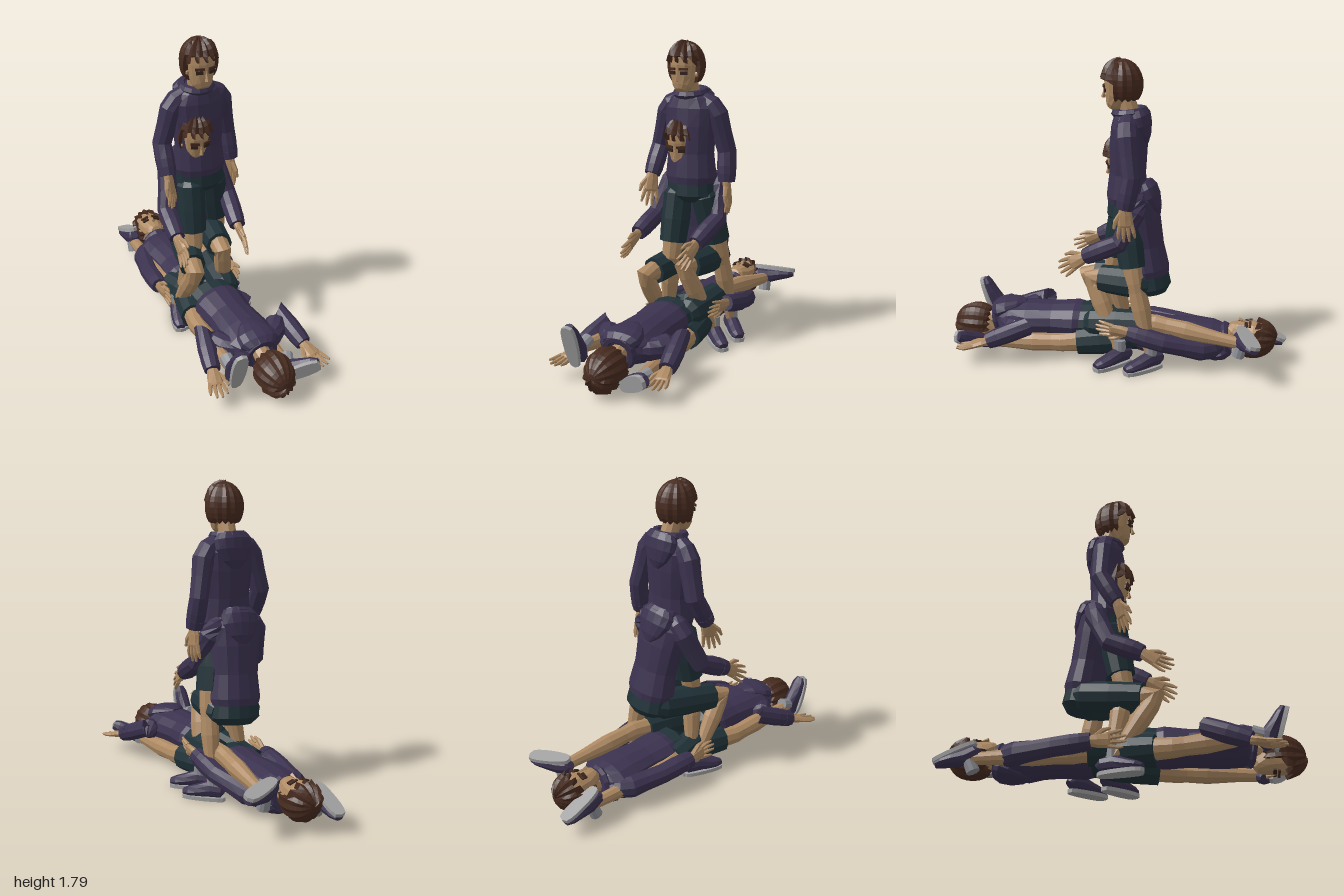
import * as THREE from 'three';

const V = (a) => new THREE.Vector3(...a);
const mat = (name, color) => Object.assign(new THREE.MeshStandardMaterial({ color }), { name });
const M = {
  hoodie: mat('hoodie', 0x3b324f), shorts: mat('shorts', 0x203238), skin: mat('skin', 0xad8962),
  hair: mat('hair', 0x472b1f), sole: mat('sole', 0xa0a0a0), sock: mat('sock', 0x8d8f96), eye: mat('eye', 0x33221b),
};

// Faceted copy of a geometry
function facet(g) {
  const f = g.index ? g.toNonIndexed() : g;
  f.computeVertexNormals();
  return f;
}

function add(parent, name, geo, material, pos) {
  const m = new THREE.Mesh(facet(geo), material);
  m.name = name;
  if (pos) m.position.set(...pos);
  parent.add(m);
  return m;
}

// Closed skin over elliptical rings [centre, radiusAlongSide, radiusAcross]
function loft(rings, side, n = 10) {
  const c = rings.map((r) => V(r[0])), pos = [], idx = [];
  const k = rings.length;
  rings.forEach((r, i) => {
    const t = c[Math.min(i + 1, k - 1)].clone().sub(c[Math.max(i - 1, 0)]).normalize();
    const s = V(side).addScaledVector(t, -V(side).dot(t)).normalize();
    const f = t.clone().cross(s);
    for (let j = 0; j < n; j++) {
      const a = (j / n) * Math.PI * 2;
      const p = c[i].clone().addScaledVector(s, Math.cos(a) * r[1]).addScaledVector(f, Math.sin(a) * r[2]);
      pos.push(p.x, p.y, p.z);
      if (i < k - 1) {
        const A = i * n + j, B = i * n + (j + 1) % n;
        idx.push(A, B, B + n, A, B + n, A + n);
      }
    }
  });
  for (let j = 1; j < n - 1; j++) {
    idx.push(0, j + 1, j);
    idx.push((k - 1) * n, (k - 1) * n + j, (k - 1) * n + j + 1);
  }
  const g = new THREE.BufferGeometry();
  g.setAttribute('position', new THREE.Float32BufferAttribute(pos, 3));
  g.setIndex(idx);
  return g;
}

// Group whose local y and z follow the given directions
function frame(parent, name, origin, up, fwd) {
  const g = new THREE.Group();
  g.name = name;
  const y = V(up).normalize(), z = V(fwd);
  z.addScaledVector(y, -z.dot(y)).normalize();
  g.quaternion.setFromRotationMatrix(new THREE.Matrix4().makeBasis(y.clone().cross(z), y, z));
  g.position.set(...origin);
  parent.add(g);
  return g;
}

const mix = (a, b, t) => a.map((v, i) => v + (b[i] - v) * t);
const sub = (a, b) => a.map((v, i) => v - b[i]);

function hairGeometry() {
  const g = new THREE.SphereGeometry(1, 28, 14), p = g.attributes.position;
  for (let i = 0; i < p.count; i++) {
    const odd = ((i % 29) % 28) % 2, pole = Math.abs(p.getY(i)) > 0.99;
    const front = p.getZ(i) > 0.1;
    const tuft = pole ? 1 : odd ? 1.04 : front ? 0.93 : 0.97;
    const x = p.getX(i) * 0.106 * tuft, z = p.getZ(i) * 0.122 * tuft;
    // jagged nape, and an opening for the face below the fringe
    const y = Math.max(p.getY(i) * 0.14 + (front && odd && p.getY(i) > 0.5 ? 0.01 : 0), -0.075 - odd * 0.018);
    const fringe = odd ? 0.005 : 0.035;
    p.setXYZ(i, x, y, y < fringe && z > 0.025 ? 0.025 : z);
  }
  return g;
}

function buildHead(parent, o, up, fwd) {
  const h = frame(parent, 'head', o, up, fwd), X = [1, 0, 0];
  add(h, 'face', loft([
    [[0, -0.138, 0.058], 0.036, 0.03], [[0, -0.118, 0.045], 0.056, 0.05], [[0, -0.07, 0.02], 0.074, 0.076],
    [[0, 0, 0.01], 0.082, 0.09], [[0, 0.06, 0.005], 0.082, 0.09], [[0, 0.1, 0], 0.06, 0.07]], X, 12), M.skin);
  add(h, 'hair', hairGeometry(), M.hair);
  const nose = add(h, 'nose', new THREE.ConeGeometry(0.013, 0.06, 4), M.skin, [0, -0.052, 0.1]);
  nose.rotation.x = -0.2;
  for (const s of [-1, 1]) {
    add(h, 'eyebrow', new THREE.BoxGeometry(0.052, 0.013, 0.009), M.hair, [s * 0.037, -0.012, 0.094]).rotation.y = s * 0.35;
    add(h, 'eye', new THREE.BoxGeometry(0.04, 0.02, 0.009), M.eye, [s * 0.037, -0.034, 0.088]).rotation.y = s * 0.35;
    add(h, 'ear', new THREE.SphereGeometry(0.018, 6, 5), M.skin, [s * 0.08, -0.045, 0.015]);
  }
}

function buildTorso(parent, pelvis, neck, fwd) {
  const up = sub(neck, pelvis), L = V(up).length(), X = [1, 0, 0];
  const t = frame(parent, 'torso', pelvis, up, fwd);
  const rings = (a) => loft(a.map(([f, w, d, z = 0]) => [[0, f * L, z], w, d]), X, 14);
  add(t, 'shortsSeat', rings([[-0.12, 0.1, 0.08], [-0.05, 0.15, 0.11], [0.13, 0.142, 0.103]]), M.shorts);
  add(t, 'hoodieBody', rings([[0.07, 0.143, 0.107], [0.14, 0.156, 0.115], [0.38, 0.142, 0.103],
    [0.66, 0.157, 0.107], [0.84, 0.165, 0.1], [0.94, 0.125, 0.088], [1, 0.075, 0.07]]), M.hoodie);
  const collar = add(t, 'collar', new THREE.TorusGeometry(0.083, 0.024, 6, 14), M.hoodie, [0, L * 0.99, 0]);
  collar.rotation.x = Math.PI / 2 + 0.15;
  // hood hanging down the back, tapering to a soft point
  add(t, 'hood', rings([[0.68, 0.025, 0.012, -0.1], [0.76, 0.075, 0.03, -0.095], [0.87, 0.115, 0.05, -0.078],
    [0.96, 0.118, 0.058, -0.06], [1.02, 0.09, 0.045, -0.048]]), M.hoodie);
}

function buildHand(parent, wrist, dir, spread, thumbSide) {
  const h = frame(parent, 'hand', wrist, dir, spread), Z = [0, 0, 1];
  add(h, 'palm', loft([[[0, -0.02, 0], 0.028, 0.025], [[0, 0.03, 0], 0.04, 0.023],
    [[0, 0.09, 0], 0.045, 0.018], [[0, 0.1, 0], 0.04, 0.013]], Z, 8), M.skin);
  for (let i = 0; i < 4; i++) {
    const z = (i - 1.5) * 0.022, len = i % 3 ? 0.1 : 0.08;
    add(h, 'finger', loft([[[0, 0.085, z], 0.012, 0.013], [[0.004, 0.085 + len * 0.6, z * 1.3], 0.011, 0.011],
      [[0.012, 0.085 + len, z * 1.45], 0.006, 0.006]], Z, 6), M.skin);
  }
  add(h, 'thumb', loft([[[0, 0.015, 0.02 * thumbSide], 0.015, 0.015], [[0, 0.065, 0.057 * thumbSide], 0.014, 0.013],
    [[0, 0.105, 0.067 * thumbSide], 0.007, 0.007]], Z, 6), M.skin);
}

function buildArm(parent, neck, { shoulder: s, elbow: e, wrist: w, hand, spread, thumb = 1 }) {
  const a = new THREE.Group();
  a.name = 'arm';
  parent.add(a);
  add(a, 'sleeve', loft([[mix(s, neck, 0.5), 0.05, 0.05], [mix(s, neck, 0.18), 0.06, 0.06], [mix(s, e, 0.15), 0.064, 0.064],
    [mix(s, e, 0.55), 0.057, 0.057], [e, 0.055, 0.055], [mix(e, w, 0.5), 0.056, 0.056], [mix(e, w, 0.85), 0.052, 0.052],
    [w, 0.04, 0.04]], spread), M.hoodie);
  add(a, 'cuff', loft([[mix(e, w, 0.76), 0.055, 0.055], [mix(e, w, 1.03), 0.047, 0.047]], spread), M.hoodie);
  buildHand(a, mix(e, w, 1.05), hand, spread, thumb);
}

function buildShoe(parent, ankle, down, toe) {
  const f = frame(parent, 'shoe', ankle, down.map((v) => -v), toe), X = [1, 0, 0];
  // upper: sections from heel to toe
  add(f, 'shoeUpper', loft([[[0, -0.03, -0.07], 0.025, 0.025], [[0, -0.018, -0.055], 0.038, 0.045],
    [[0, -0.015, 0.01], 0.042, 0.05], [[0, -0.031, 0.08], 0.045, 0.038], [[0, -0.041, 0.14], 0.042, 0.028],
    [[0, -0.047, 0.175], 0.026, 0.018]], X), M.hoodie);
  const sole = add(f, 'shoeSole', new THREE.CylinderGeometry(1, 1, 0.022, 16), M.sole, [0, -0.068, 0.054]);
  const p = sole.geometry.attributes.position;
  for (let i = 0; i < p.count; i++) {
    const x = p.getX(i), z = p.getZ(i);
    p.setXYZ(i, Math.sign(x) * Math.sqrt(Math.abs(x)) * (0.044 + 0.005 * z), p.getY(i), z * 0.13);
  }
  sole.geometry.computeVertexNormals();
  add(f, 'sock', new THREE.CylinderGeometry(0.037, 0.035, 0.07, 10), M.sock, [0, 0.045, 0]);
}

function buildLeg(parent, { hip: h, knee: k, ankle: a, toe, down, cut = 0.82, side = [1, 0, 0.01] }) {
  const g = new THREE.Group();
  g.name = 'leg';
  parent.add(g);
  add(g, 'shortsLeg', loft([[mix(h, k, -0.1), 0.06, 0.06], [h, 0.083, 0.09], [mix(h, k, 0.4), 0.084, 0.088],
    [mix(h, k, cut), 0.078, 0.08]], side), M.shorts);
  add(g, 'bareLeg', loft([[mix(h, k, 0.5), 0.064, 0.066], [mix(h, k, 0.85), 0.057, 0.059], [k, 0.053, 0.056],
    [mix(k, a, 0.12), 0.049, 0.052], [mix(k, a, 0.35), 0.052, 0.056], [mix(k, a, 0.7), 0.038, 0.04], [a, 0.031, 0.033]], side), M.skin);
  buildShoe(g, a, down, toe);
}

function buildFigure(parent, name, { pelvis, neck, fwd, head, headUp, headFwd, arms, legs }) {
  const g = new THREE.Group();
  g.name = name;
  parent.add(g);
  buildTorso(g, pelvis, neck, fwd);
  add(g, 'neck', loft([[mix(neck, head, -0.1), 0.052, 0.052], [mix(neck, head, 0.6), 0.048, 0.048]], [1, 0, 0]), M.skin);
  buildHead(g, head, headUp, headFwd);
  arms.forEach((a) => buildArm(g, neck, a));
  legs.forEach((l) => buildLeg(g, l));
}

export function createModel() {
  const root = new THREE.Group();
  root.name = 'figureGroup';
  const floor = [0, -1, 0];

  buildFigure(root, 'standingFigure', {
    pelvis: [-0.01, 0.92, -0.065], neck: [-0.02, 1.49, -0.08], fwd: [0, 0, 1],
    head: [-0.025, 1.64, -0.03], headUp: [0, 1, 0], headFwd: [0, 0, 1],
    arms: [
      { shoulder: [-0.165, 1.4, -0.08], elbow: [-0.23, 1.16, -0.09], wrist: [-0.235, 1.0, 0.0], hand: [0.08, -0.9, 0.3], spread: [-0.7, 0.2, 0.7] },
      { shoulder: [0.135, 1.4, -0.09], elbow: [0.19, 1.15, -0.13], wrist: [0.205, 0.98, -0.1], hand: [0.08, -1, -0.08], spread: [0.2, 0, 1] }],
    legs: [
      { hip: [-0.08, 0.89, -0.04], knee: [-0.09, 0.52, 0.03], ankle: [-0.16, 0.08, -0.04], toe: [-0.2, 0, 0.9], down: floor, cut: 0.76 },
      { hip: [0.075, 0.89, -0.08], knee: [0.14, 0.52, -0.15], ankle: [0.17, 0.08, -0.25], toe: [0.6, 0, 0.65], down: floor, cut: 0.76 }],
  });

  buildFigure(root, 'crouchingFigure', {
    pelvis: [0.01, 0.49, -0.22], neck: [-0.04, 1.05, -0.12], fwd: [0, 0, 1],
    head: [-0.05, 1.205, -0.04], headUp: [0, 1, 0.13], headFwd: [0, 0, 1],
    arms: [
      { shoulder: [-0.17, 0.97, -0.14], elbow: [-0.23, 0.75, -0.04], wrist: [-0.245, 0.67, 0.14], hand: [-0.03, -0.5, 0.8], spread: [0.3, 1, 0.4] },
      { shoulder: [0.12, 0.96, -0.15], elbow: [0.17, 0.76, -0.06], wrist: [0.14, 0.66, 0.14], hand: [0, -0.5, 0.8], spread: [-0.3, 1, 0.4] }],
    legs: [
      { hip: [-0.08, 0.49, -0.2], knee: [-0.16, 0.44, 0.21], ankle: [-0.18, 0.08, -0.03], toe: [-0.25, 0, 0.9], down: floor },
      { hip: [0.1, 0.5, -0.2], knee: [0.05, 0.5, 0.13], ankle: [0.15, 0.08, -0.06], toe: [0.65, 0, 0.6], down: floor }],
  });

  buildFigure(root, 'figureLyingFaceUp', {
    pelvis: [-0.03, 0.15, -0.11], neck: [-0.04, 0.14, -0.67], fwd: [0, 1, 0],
    head: [-0.04, 0.165, -0.815], headUp: [0, 0, -1], headFwd: [0, 1, 0],
    arms: [
      { shoulder: [-0.185, 0.13, -0.57], elbow: [-0.235, 0.15, -0.34], wrist: [-0.25, 0.17, -0.14], hand: [0.05, 0.05, 1], spread: [0, 1, 0] },
      { shoulder: [0.11, 0.12, -0.57], elbow: [0.19, 0.18, -0.32], wrist: [0.2, 0.23, -0.12], hand: [0, 0.05, 1], spread: [0.3, 1, 0], thumb: -1 }],
    legs: [
      { hip: [-0.11, 0.15, -0.08], knee: [-0.19, 0.14, 0.3], ankle: [-0.21, 0.185, 0.79], toe: [0, 1, 0.45], down: [0, -0.3, 1], cut: 0.75 },
      { hip: [0.07, 0.14, -0.08], knee: [0.13, 0.1, 0.3], ankle: [0.15, 0.075, 0.78], toe: [0.75, 0.4, 0.45], down: [-0.4, -0.2, 1], cut: 0.75 }],
  });

  buildFigure(root, 'figureLyingFaceDown', {
    pelvis: [-0.02, 0.2, 0.16], neck: [0, 0.18, 0.73], fwd: [0, -1, 0],
    head: [0.01, 0.13, 0.865], headUp: [0, 0, 1], headFwd: [0, -1, 0],
    arms: [-1, 1].map((s) => ({
      shoulder: [s * 0.15, 0.18, 0.6], elbow: [s * 0.24, 0.23, 0.48], wrist: [s * 0.285, 0.14, 0.7],
      hand: [s * 0.2, -0.25, 0.9], spread: [1, 0, 0], thumb: -s })),
    legs: [
      { hip: [-0.1, 0.18, 0.12], knee: [-0.17, 0.13, -0.27], ankle: [-0.17, 0.12, -0.81], toe: [0, -0.4, -0.9], down: [0, 0.9, -0.4], cut: 0.75 },
      { hip: [0.08, 0.22, 0.12], knee: [0.11, 0.26, -0.27], ankle: [0.15, 0.2, -0.77], toe: [0.9, -0.08, -0.42], down: [0, 1, -0.25], cut: 0.75 }],
  });
  return root;
}
